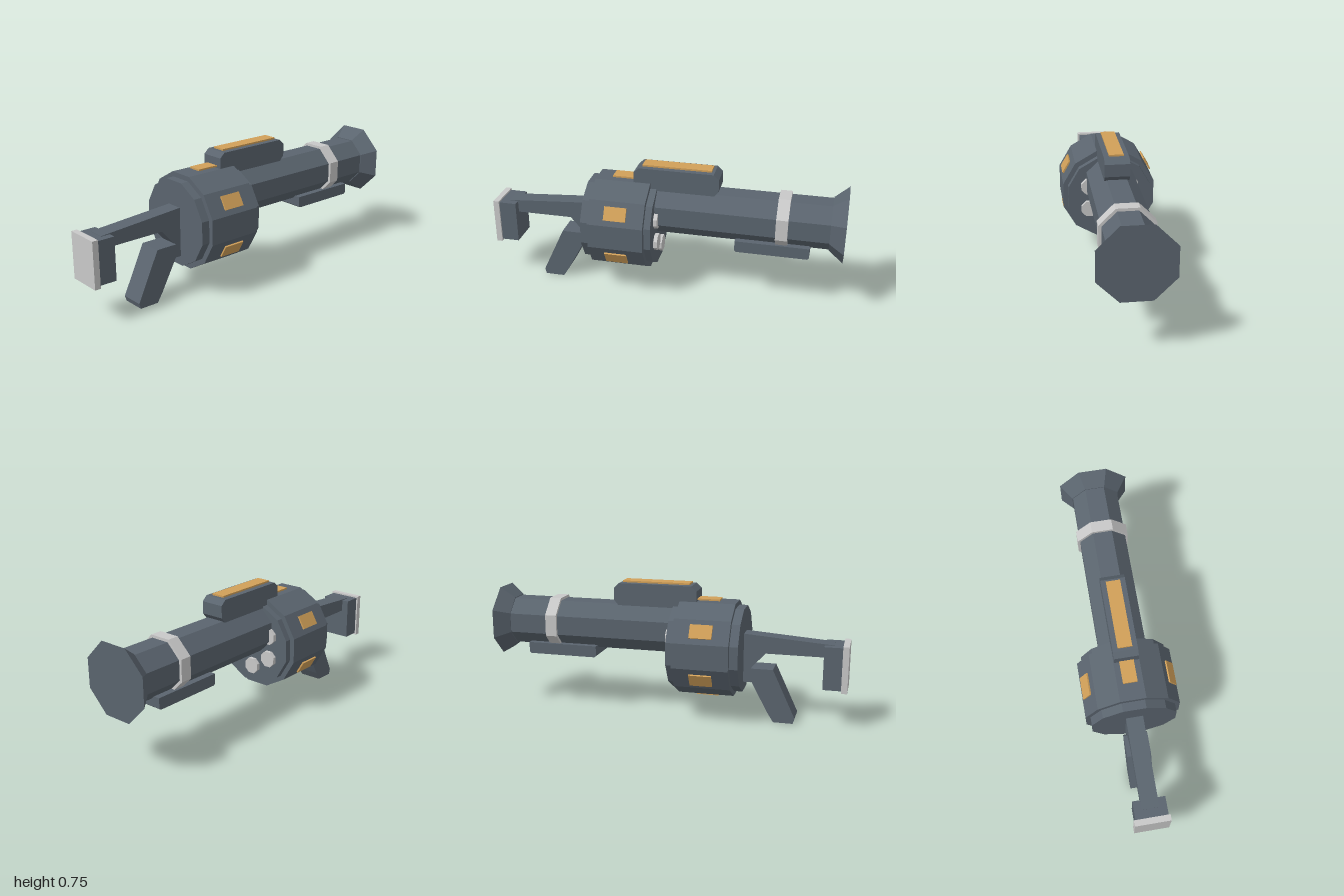
import * as THREE from 'three';

const mat = (name, color) => {
  const m = new THREE.MeshStandardMaterial({ color });
  m.name = name;
  return m;
};

export function createModel() {
  const body = mat('gunmetal', 0x5a646e);
  const pale = mat('pale grey', 0xc8c8c8);
  const gold = mat('gold', 0xd09f58);
  const model = new THREE.Group();
  const DRUM_Y = 0.395, BARREL_Y = 0.49;

  const add = (name, geometry, material, parent = model) => {
    const mesh = new THREE.Mesh(geometry, material);
    mesh.name = name;
    parent.add(mesh);
    return mesh;
  };

  // Faceted prism along z; sizes are centre-to-flat distances, a flat faces up
  const prism = (sides, front, back, z0, z1) => {
    const k = 1 / Math.cos(Math.PI / sides);
    let g = new THREE.CylinderGeometry(front * k, back * k, z1 - z0, sides);
    g.rotateY(Math.PI / sides).rotateX(Math.PI / 2).translate(0, 0, (z0 + z1) / 2);
    g = g.toNonIndexed();
    g.computeVertexNormals();
    return g;
  };

  // Side profile of [z, y] points, given thickness across x
  const slab = (points, width) => {
    const shape = new THREE.Shape(points.map(([z, y]) => new THREE.Vector2(z, y)));
    return new THREE.ExtrudeGeometry(shape, { depth: width, bevelEnabled: false })
      .translate(0, 0, -width / 2).rotateY(-Math.PI / 2);
  };

  const box = (w, y0, y1, z0, z1) =>
    new THREE.BoxGeometry(w, y1 - y0, z1 - z0).translate(0, (y0 + y1) / 2, (z0 + z1) / 2);

  // Drum with gold plates on alternate flats and chamber caps behind
  const drum = new THREE.Group();
  drum.name = 'drum';
  drum.position.y = DRUM_Y;
  model.add(drum);
  add('drumCore', prism(12, 0.233, 0.233, 0.033, 0.43), body, drum);
  add('drumShell', prism(12, 0.26, 0.26, 0.07, 0.383), body, drum);
  for (let i = 0; i < 6; i++) {
    const a = i * Math.PI / 3;
    const plate = box(0.078, 0.266, 0.275, 0.166, 0.29).rotateZ(a);
    add('drumPlate', plate, gold, drum);
    const cap = prism(8, 0.044, 0.044, 0.012, 0.05);
    cap.translate(Math.sin(a) * 0.135, Math.cos(a) * 0.135, 0);
    add('chamberCap', cap, pale, drum);
  }

  // Barrel, collar and flared muzzle
  const barrel = new THREE.Group();
  barrel.name = 'barrelAssembly';
  barrel.position.y = BARREL_Y;
  model.add(barrel);
  add('barrel', prism(8, 0.13, 0.13, -0.95, 0.06), body, barrel);
  add('barrelCollar', prism(8, 0.145, 0.145, -0.698, -0.633), pale, barrel);
  add('muzzleFlare', prism(8, 0.134, 0.194, -1, -0.92), body, barrel);

  // Rail under the barrel
  add('lowerRail', slab([
    [-0.412, 0.375], [-0.412, 0.318], [-0.422, 0.31],
    [-0.81, 0.31], [-0.82, 0.318], [-0.82, 0.375],
  ], 0.21), body);

  // Sight housing and its top plate
  add('sightHousing', slab([
    [0.165, 0.62], [0.165, 0.713], [0.135, 0.74], [-0.28, 0.74],
    [-0.31, 0.713], [-0.31, 0.645], [-0.285, 0.615], [0.14, 0.615],
  ], 0.134), body);
  add('sightPlate', box(0.078, 0.742, 0.7515, -0.265, 0.12), gold);

  // Stock arm, shoulder block and pad
  add('stockArm', slab([
    [0.92, 0.455], [0.41, 0.491], [0.41, 0.215], [0.475, 0.215],
    [0.475, 0.3], [0.55, 0.385], [0.92, 0.385],
  ], 0.094), body);
  add('shoulderBlock', box(0.176, 0.215, 0.453, 0.868, 0.97), body);
  add('shoulderPad', box(0.194, 0.204, 0.462, 0.967, 1), pale);

  // Slanted grip
  add('grip', slab([
    [0.597, 0.3], [0.724, 0.03], [0.715, 0], [0.606, 0],
    [0.574, 0.05], [0.46, 0.26], [0.475, 0.3],
  ], 0.134), body);

  return model;
}
